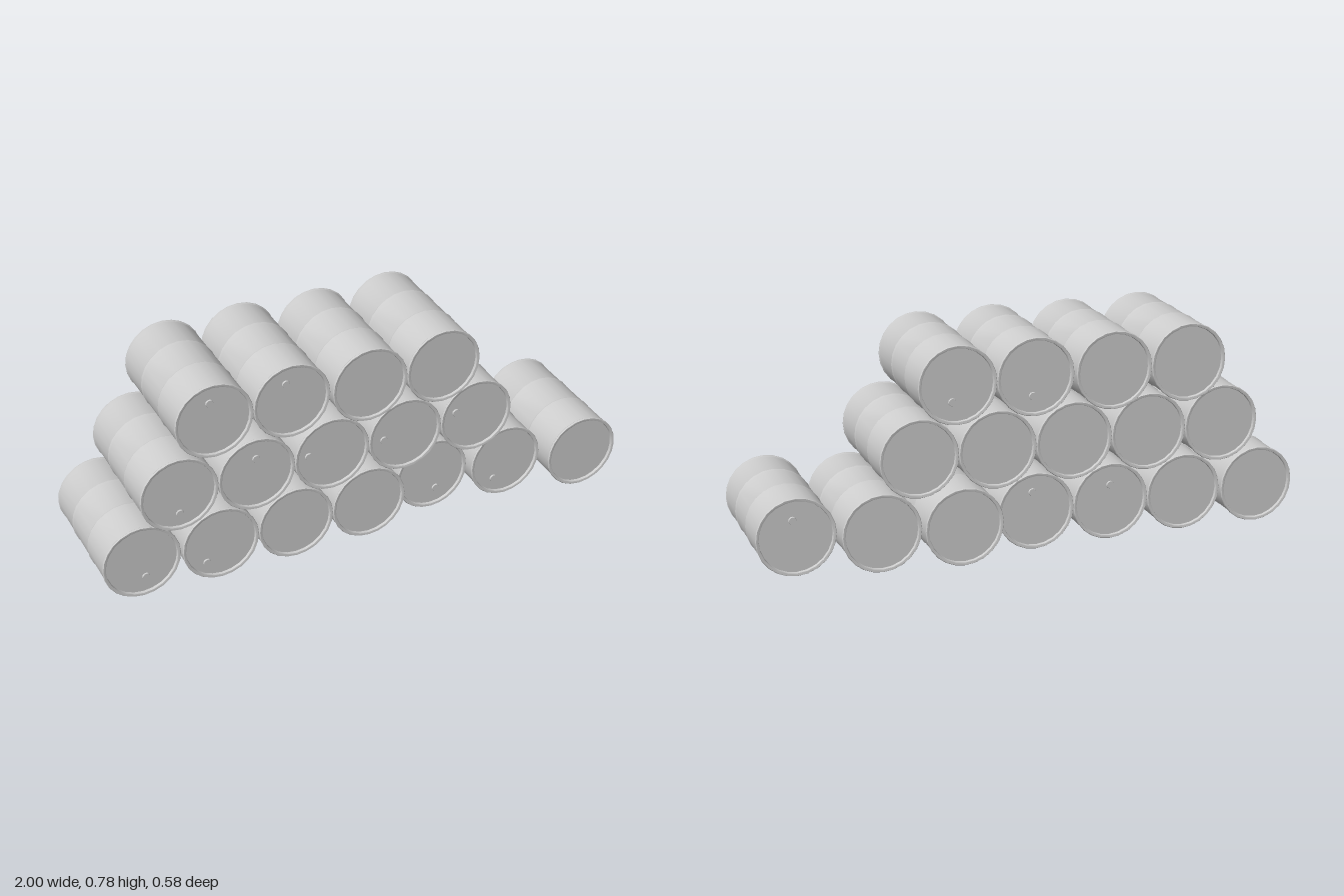
import * as THREE from 'three';
import { toCreasedNormals } from 'three/addons/utils/BufferGeometryUtils.js';

const RADIUS = 0.1428, HALF = 0.237, SIDES = 24;
const SPACING = 0.2857, ROW_HEIGHT = SPACING * Math.sqrt(3) / 2;

// Each barrel: [z offset, end carrying the bung (1 front, -1 back), bung x, bung y]
const ROWS = [
  { x: -0.857, barrels: [
    [-0.015, 1, 0.013, -0.07], [0.003, 1, -0.053, -0.07], [0.005, -1, 0, 0.06], [0.005, -1, 0.012, 0.07],
    [-0.055, 1, 0.02, -0.07], [-0.015, 1, -0.044, -0.07], [0.055, -1, 0.01, 0.06]] },
  { x: -0.714, barrels: [
    [0.002, 1, 0, -0.08], [0.002, 1, 0, 0.06], [0.002, 1, -0.088, 0.01],
    [0.002, 1, -0.082, -0.005], [0.002, 1, -0.08, 0.03]] },
  { x: -0.571, barrels: [
    [-0.014, 1, -0.013, 0.07], [-0.014, 1, -0.02, 0.07], [0.008, -1, 0.01, -0.07], [0.008, -1, 0.019, -0.06]] },
];

// Drum shell: recessed lids, rolled rims and two raised hoops, turned about z
function drumGeometry() {
  const body = RADIUS - 0.0028, lid = HALF - 0.01;
  const half = [
    [0, lid], [RADIUS - 0.013, lid], [RADIUS - 0.011, HALF - 0.001], [RADIUS - 0.008, HALF],
    [RADIUS - 0.002, HALF], [RADIUS, HALF - 0.003], [RADIUS, HALF - 0.006], [body, HALF - 0.01],
    [body, 0.086], [RADIUS, 0.079], [body, 0.072],
  ];
  const profile = [
    ...half.map(([r, y]) => new THREE.Vector2(r, -y)),
    ...half.reverse().map(([r, y]) => new THREE.Vector2(r, y)),
  ];
  const lathe = new THREE.LatheGeometry(profile, SIDES, Math.PI / 2).rotateX(Math.PI / 2);
  return toCreasedNormals(lathe, 0.6);
}

export function createModel() {
  const model = new THREE.Group();
  model.name = 'barrelStack';
  const material = new THREE.MeshStandardMaterial({ color: 0xcccccc });
  const drum = drumGeometry();
  const bungGeometry = new THREE.CylinderGeometry(0.013, 0.015, 0.006, 12).rotateX(Math.PI / 2);

  ROWS.forEach((row, r) => row.barrels.forEach(([z, end, bx, by], i) => {
    const barrel = new THREE.Group();
    barrel.name = `barrelRow${r + 1}Number${i + 1}`;
    barrel.position.set(row.x + i * SPACING, RADIUS + r * ROW_HEIGHT, z);

    const shell = new THREE.Mesh(drum, material);
    shell.name = 'shell';

    // Filler bung on one lid
    const bung = new THREE.Mesh(bungGeometry, material);
    bung.name = 'bung';
    bung.position.set(bx, by, end * (HALF - 0.008));
    if (end < 0) bung.rotation.y = Math.PI;

    barrel.add(shell, bung);
    model.add(barrel);
  }));
  return model;
}
